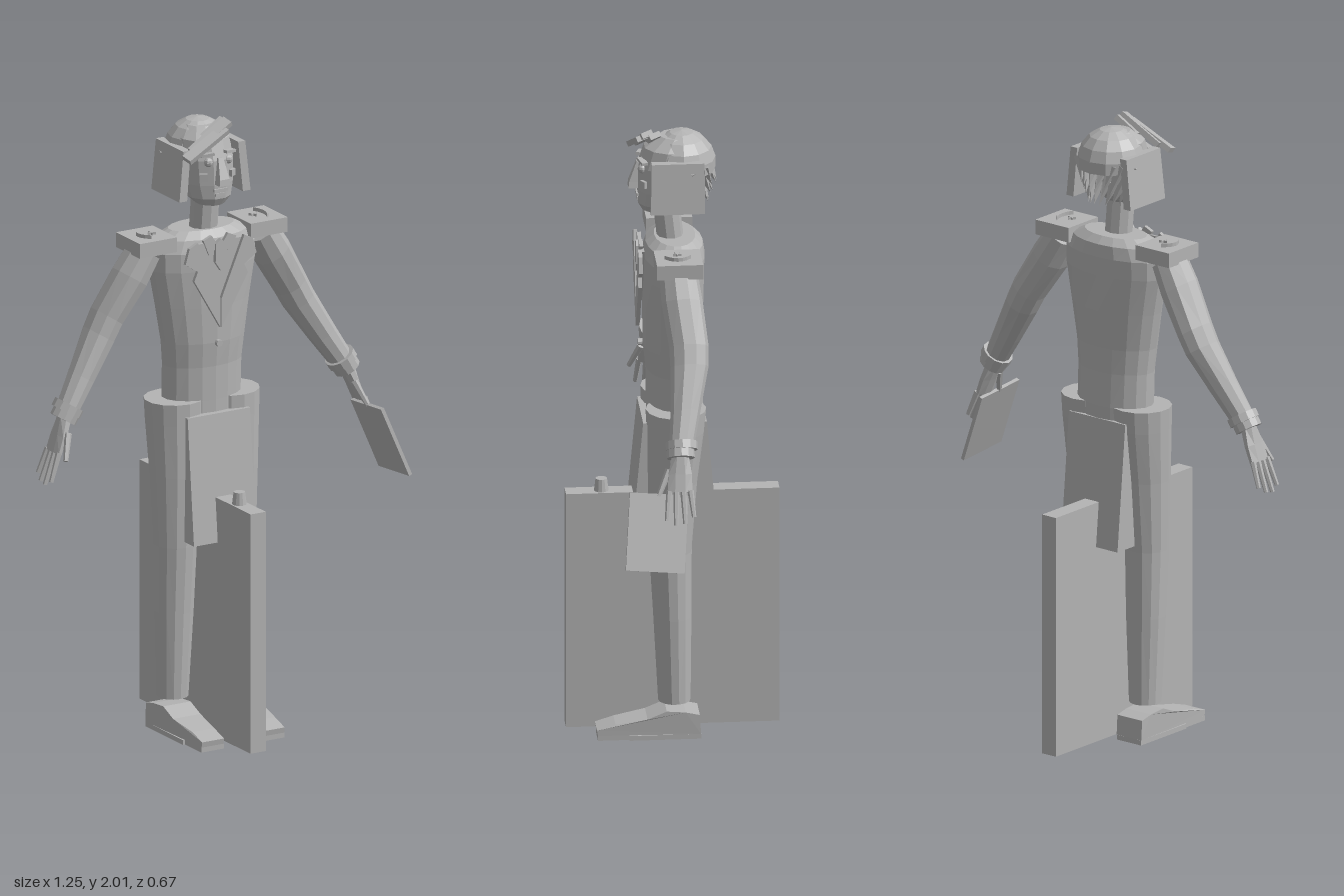
import * as THREE from 'three';

export function createModel() {
  const grey = new THREE.MeshStandardMaterial({ color: 0xb4b4b4 });
  grey.name = 'plain grey';
  grey.flatShading = true;

  const model = new THREE.Group();
  model.name = 'figure';
  const body = new THREE.Group();
  body.name = 'body';
  body.position.x = -0.026;
  model.add(body);

  function add(parent, name, geo, pos = [0, 0, 0], rot = [0, 0, 0]) {
    const m = new THREE.Mesh(geo, grey);
    m.name = name;
    m.position.set(...pos);
    m.rotation.set(...rot);
    parent.add(m);
    return m;
  }
  const box = (w, h, d) => new THREE.BoxGeometry(w, h, d);
  const cyl = (a, b, h, n = 8) => new THREE.CylinderGeometry(a, b, h, n);

  // Skin over rings listed bottom to top: [x, y, z, halfWidth, halfDepth, tilt]
  function loft(rings, n) {
    const pos = [], idx = [], k = 1 / Math.cos(n === 4 ? Math.PI / 4 : 0);
    for (const [x, y, z, rx, rz, t = 0] of rings) {
      for (let j = 0; j < n; j++) {
        const a = ((j + 0.5) / n) * Math.PI * 2, u = rx * k * Math.cos(a);
        pos.push(x + u * Math.cos(t), y + u * Math.sin(t), z + rz * k * Math.sin(a));
      }
    }
    const last = rings.length - 1, c = pos.length / 3;
    pos.push(...rings[0].slice(0, 3), ...rings[last].slice(0, 3));
    for (let j = 0; j < n; j++) {
      const q = (j + 1) % n;
      for (let i = 0; i < last; i++) {
        const a = i * n + j, b = i * n + q;
        idx.push(a, a + n, b, b, a + n, b + n);
      }
      idx.push(c, j, q, c + 1, last * n + q, last * n + j);
    }
    const g = new THREE.BufferGeometry();
    g.setAttribute('position', new THREE.Float32BufferAttribute(pos, 3));
    g.setIndex(idx);
    g.computeVertexNormals();
    return g;
  }
  function plate(points, depth) {
    const s = new THREE.Shape(points.map(([x, y]) => new THREE.Vector2(x, y)));
    return new THREE.ExtrudeGeometry(s, { depth, bevelEnabled: false });
  }

  // Upright board with a knob on its top edge
  add(model, 'board', box(0.056, 0.785, 0.67), [-0.025, 0.3925, 0]);
  add(model, 'knob', cyl(0.018, 0.023, 0.04, 12), [-0.025, 0.805, 0.222]);

  // Jacket, flared coat tails and neck
  add(body, 'jacket', loft([
    [0, 0.98, -0.008, 0.13, 0.09], [0, 1.09, -0.008, 0.136, 0.09],
    [0, 1.2, -0.004, 0.137, 0.088], [0, 1.28, 0, 0.145, 0.092],
    [0, 1.4, -0.002, 0.165, 0.096], [0, 1.52, -0.003, 0.188, 0.098],
    [0, 1.58, -0.004, 0.188, 0.098], [0, 1.62, -0.006, 0.16, 0.09],
    [0, 1.642, -0.008, 0.115, 0.065]], 18));
  add(body, 'coatTails', loft([[0, 0.64, 0, 0.114, 0.138], [0, 1.05, 0, 0.114, 0.1]], 4));
  add(body, 'neck', loft([[0, 1.6, 0.002, 0.047, 0.042], [0, 1.78, 0.022, 0.047, 0.042]], 10));
  add(body, 'button', cyl(0.011, 0.011, 0.014, 10), [0, 1.28, 0.1], [Math.PI / 2, 0, 0]);

  // Bow, tie and shirt front
  add(body, 'shirtFront', plate([[-0.085, 1.615], [0, 1.42], [0.085, 1.615]], 0.008), [0, 0, 0.093]);
  add(body, 'tie', plate([[0, 1.625], [-0.018, 1.61], [-0.02, 1.55], [0, 1.52], [0.02, 1.55], [0.018, 1.61]], 0.014), [0, 0, 0.1]);

  // Head with a simple face
  const head = new THREE.Group();
  head.name = 'head';
  body.add(head);
  add(head, 'skull', loft([
    [0, 1.73, 0.045, 0.045, 0.05], [0, 1.755, 0.035, 0.072, 0.075],
    [0, 1.8, 0.02, 0.085, 0.092], [0, 1.88, 0.01, 0.09, 0.1],
    [0, 1.94, -0.005, 0.085, 0.095], [0, 1.975, -0.02, 0.05, 0.06]], 12));
  add(head, 'nose', loft([[0, 1.805, 0.112, 0.02, 0.026], [0, 1.825, 0.112, 0.017, 0.024], [0, 1.89, 0.1, 0.009, 0.012]], 4));
  add(head, 'mouth', box(0.05, 0.009, 0.014), [0, 1.785, 0.107]);
  add(head, 'lowerLip', box(0.036, 0.01, 0.014), [0, 1.77, 0.104]);

  // Hair: skull cap, swept fringe and tufts at the nape
  const cap = new THREE.SphereGeometry(0.108, 12, 5, 0, Math.PI * 2, 0, Math.PI * 0.56);
  add(head, 'hairCap', cap, [0, 1.882, -0.03]).material = grey;
  const fringe = [[-0.05, 1.94, 0.105, 0.17, 0.4], [-0.025, 1.957, 0.088, 0.16, 0.46], [0.008, 1.968, 0.06, 0.09, 0.5]];
  fringe.forEach(([x, y, z, len, tilt]) =>
    add(head, 'fringe', box(len, 0.018, 0.036), [x, y, z], [0.3, 0.25, tilt]));
  for (let row = 0; row < 3; row++) {
    for (let i = -4; i <= 4; i++) {
      const a = (i + (row % 2) * 0.5) * 0.29, r = 0.1 - row * 0.012;
      const tuft = add(head, 'napeTuft', new THREE.ConeGeometry(0.019, 0.075, 4),
        [Math.sin(a) * r, 1.855 - row * 0.033, -0.025 - Math.cos(a) * r]);
      tuft.rotation.set(Math.PI - 0.4, a, 0, 'YXZ');
      tuft.rotation.x = Math.PI + 0.4;
    }
  }

  // Everything that is mirrored, built for the left side
  for (const s of [1, -1]) {
    const side = new THREE.Group();
    side.name = s > 0 ? 'leftSide' : 'rightSide';
    side.scale.x = s;
    body.add(side);

    // Face and hair
    add(side, 'eye', new THREE.SphereGeometry(0.015, 8, 6), [0.036, 1.877, 0.096]);
    add(side, 'eyebrow', box(0.044, 0.009, 0.02), [0.04, 1.903, 0.096], [0, 0.3, -0.12]);
    add(side, 'cheek', box(0.025, 0.022, 0.02), [0.05, 1.83, 0.09], [0, 0.55, 0]);
    add(side, 'sideHair', loft([[0.116, 1.755, -0.008, 0.014, 0.085], [0.1, 1.918, -0.01, 0.013, 0.083]], 4));

    // Lapel and collar
    add(side, 'lapel', plate([[0.085, 1.625], [0.002, 1.43], [0.002, 1.335], [0.098, 1.5],
      [0.085, 1.53], [0.13, 1.56], [0.115, 1.61]], 0.012), [0, 0, 0.102]);
    add(side, 'collar', plate([[0.004, 1.6], [0.04, 1.575], [0.06, 1.625], [0.03, 1.638]], 0.012), [0, 0, 0.095]);

    // Shoulder block with a star and a crescent on top
    add(side, 'epaulette', box(0.135, 0.048, 0.145), [0.203, 1.616, -0.003]);
    const star = [];
    for (let i = 0; i < 10; i++) {
      const r = i % 2 ? 0.005 : 0.014, a = (i * Math.PI) / 5;
      star.push([r * Math.cos(a), r * Math.sin(a)]);
    }
    add(side, 'star', plate(star, 0.01), [0.186, 1.638, 0], [-Math.PI / 2, 0, 0]);
    const moon = new THREE.Shape();
    moon.moveTo(0, -0.042);
    moon.quadraticCurveTo(0.05, 0, 0, 0.042);
    moon.quadraticCurveTo(0.024, 0, 0, -0.042);
    add(side, 'crescent', new THREE.ExtrudeGeometry(moon, { depth: 0.014, bevelEnabled: false, curveSegments: 6 }),
      [0.212, 1.638, 0], [-Math.PI / 2, 0, 0]);

    // Sleeve and cuff
    add(side, 'sleeve', loft([
      [0.508, 1.11, 0.014, 0.038, 0.038, 0.56], [0.44, 1.215, -0.005, 0.046, 0.047, 0.56],
      [0.365, 1.335, -0.024, 0.054, 0.06, 0.57], [0.335, 1.39, -0.025, 0.056, 0.062, 0.58],
      [0.26, 1.51, -0.01, 0.062, 0.065, 0.585], [0.212, 1.59, -0.003, 0.056, 0.06, 0.585]], 10));
    add(side, 'cuff', cyl(0.05, 0.05, 0.026, 12), [0.5, 1.125, 0.012], [0, 0, 0.56]);
    add(side, 'cuffEdge', cyl(0.044, 0.044, 0.026, 12), [0.513, 1.103, 0.016], [0, 0, 0.56]);

    // Hand
    const hand = new THREE.Group();
    hand.name = 'hand';
    hand.position.set(0.515, 1.1, 0.018);
    hand.rotation.z = 0.37;
    side.add(hand);
    add(hand, 'palm', loft([[0, -0.115, 0.004, 0.014, 0.042], [0, -0.06, 0.002, 0.018, 0.04], [0, 0, 0, 0.024, 0.028]], 8));
    for (let i = 0; i < 4; i++) {
      const z = (i - 1.5) * 0.022 + 0.004, len = [0.085, 0.105, 0.11, 0.095][i];
      add(hand, 'finger', cyl(0.01, 0.007, len, 6), [0.004, -0.11 - len / 2, z * 1.15], [-(i - 1.5) * 0.07, 0, 0]);
    }
    add(hand, 'thumb', cyl(0.012, 0.008, 0.09, 6), [-0.008, -0.085, 0.053], [-0.4, 0, 0]);

    // Trouser leg
    add(side, 'leg', loft([
      [0.111, 0.117, 0.002, 0.051, 0.051], [0.109, 0.4, 0.008, 0.064, 0.06],
      [0.108, 0.62, 0.014, 0.07, 0.067], [0.102, 0.85, 0.008, 0.085, 0.08],
      [0.1, 1.02, -0.002, 0.095, 0.092], [0.1, 1.092, -0.004, 0.098, 0.095]], 14));

    // Shoe: side profile extruded across the foot, then narrowed at the toe
    const shoe = plate([[-0.078, 0.016], [0.245, 0.016], [0.248, 0.034], [0.19, 0.052],
      [0.09, 0.07], [0.03, 0.095], [-0.03, 0.09], [-0.074, 0.08]], 0.1);
    const p = shoe.attributes.position;
    for (let i = 0; i < p.count; i++) {
      const taper = p.getX(i) > 0.15 ? 0.8 : 1;
      p.setZ(i, (p.getZ(i) - 0.05) * taper);
    }
    shoe.computeVertexNormals();
    add(side, 'shoe', shoe, [0.111, 0, 0], [0, -Math.PI / 2, 0]);
    add(side, 'sole', box(0.082, 0.016, 0.1), [0.111, 0.008, 0.195]);
    add(side, 'sole', box(0.098, 0.016, 0.225), [0.111, 0.008, 0.034]);
  }

  // Flat card held in the left hand
  add(model, 'card', box(0.012, 0.245, 0.185), [0.57, 0.873, 0.097], [-0.09, 0, 0.38]);
  return model;
}
